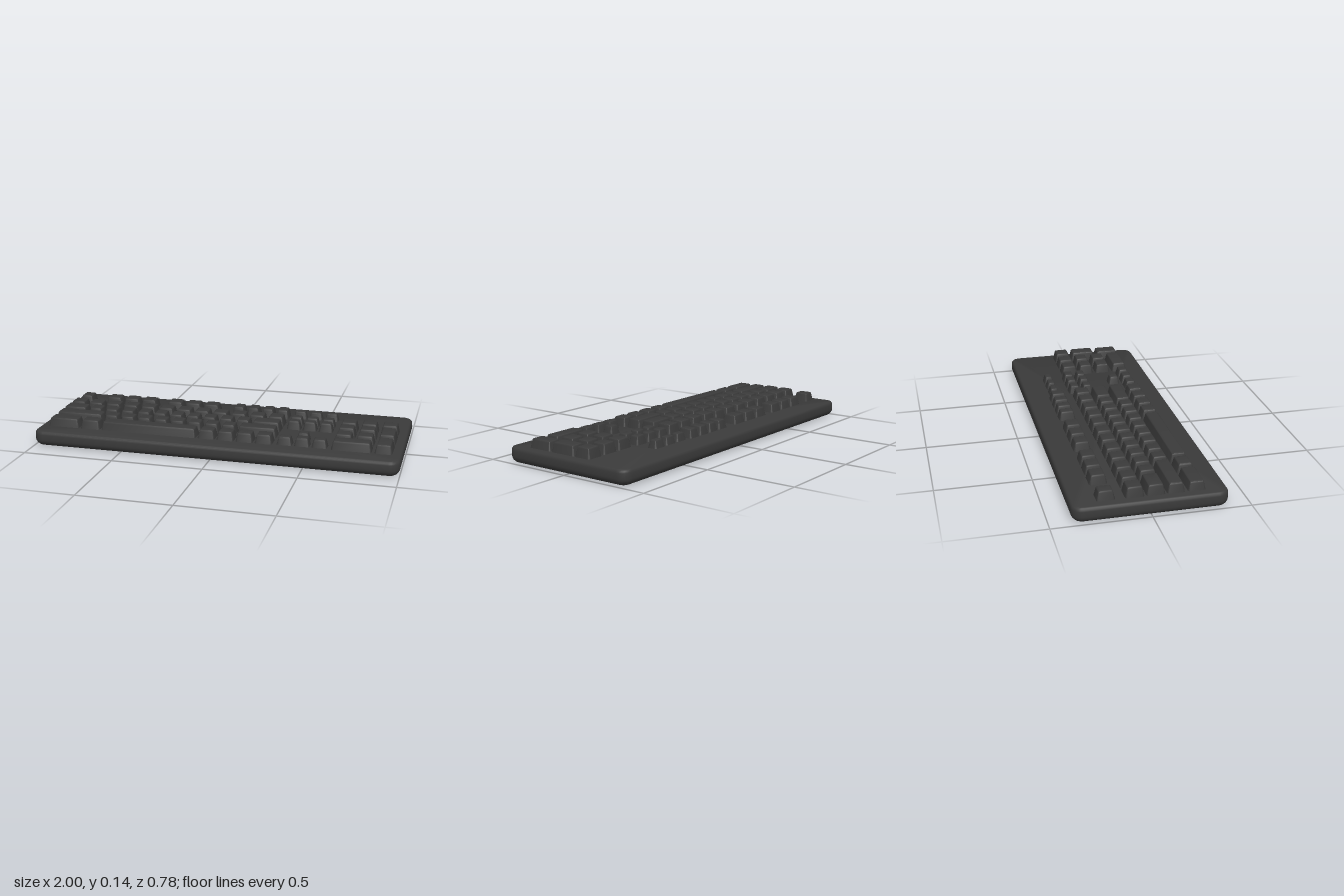
import * as THREE from 'three';
import { toCreasedNormals } from 'three/addons/utils/BufferGeometryUtils.js';

const charcoal = new THREE.MeshStandardMaterial({ color: 0x3a3a3a });
charcoal.name = 'charcoal plastic';

// Stack of rounded rectangles, bottom to top; each ring is [inset, y]. Closed at both ends.
function loft(width, depth, radius, rings, topCentreY, cornerSteps) {
  const pos = [], index = [];
  const n = 4 * (cornerSteps + 1);
  for (const [inset, y] of rings) {
    const r = Math.max(radius - inset, 0.004);
    const cx = width / 2 - inset - r, cz = depth / 2 - inset - r;
    for (let q = 0; q < 4; q++) {
      const sx = q === 0 || q === 3 ? 1 : -1, sz = q < 2 ? 1 : -1;
      for (let s = 0; s <= cornerSteps; s++) {
        const a = (q + s / cornerSteps) * Math.PI / 2;
        pos.push(sx * cx + r * Math.cos(a), y, sz * cz + r * Math.sin(a));
      }
    }
  }
  const last = (rings.length - 1) * n, bottom = rings.length * n, top = bottom + 1;
  pos.push(0, rings[0][1], 0, 0, topCentreY, 0);
  for (let j = 0; j < n; j++) {
    const k = (j + 1) % n;
    for (let i = 0; i < last; i += n) {
      index.push(i + j, i + n + j, i + k, i + k, i + n + j, i + n + k);
    }
    index.push(bottom, j, k, top, last + k, last + j);
  }
  const g = new THREE.BufferGeometry();
  g.setAttribute('position', new THREE.Float32BufferAttribute(pos, 3));
  g.setIndex(index);
  return toCreasedNormals(g, 0.65);
}

// Tapered keycap with a soft rim and a shallow dished top
function addKey(group, name, x0, x1, z0, z1, top) {
  const rings = [[0, 0.08], [0.011, top - 0.011], [0.013, top - 0.004], [0.017, top - 0.001], [0.022, top]];
  const key = new THREE.Mesh(loft(x1 - x0, z1 - z0, 0.012, rings, top - 0.003, 3), charcoal);
  key.name = name;
  key.position.set((x0 + x1) / 2, 0, (z0 + z1) / 2);
  group.add(key);
}

// Equal keys side by side between x0 and x1
function addRun(group, name, count, x0, x1, z0, z1, top, gap = 0.008) {
  const pitch = (x1 - x0 + gap) / count;
  for (let i = 0; i < count; i++) {
    addKey(group, name, x0 + i * pitch, x0 + (i + 1) * pitch - gap, z0, z1, top);
  }
}

export function createModel() {
  const model = new THREE.Group();
  model.name = 'keyboard';

  // Case: large rounding underneath, small one on top
  const rings = [];
  for (let i = 0; i <= 6; i++) {
    const a = i / 6 * Math.PI / 2;
    rings.push([0.05 * (1 - Math.sin(a)), 0.04 * (1 - Math.cos(a))]);
  }
  rings.push([0, 0.068], [0.002, 0.077], [0.007, 0.084], [0.014, 0.087]);
  const body = new THREE.Mesh(loft(2, 0.78, 0.055, rings, 0.087, 6), charcoal);
  body.name = 'case';
  model.add(body);

  const section = (name) => {
    const g = new THREE.Group();
    g.name = name;
    model.add(g);
    return g;
  };

  // Back row
  const back = section('backRow');
  for (const [count, x0, x1] of [[1, -0.95, -0.865], [3, -0.785, -0.47], [3, -0.41, -0.09], [4, -0.015, 0.32]]) {
    addRun(back, 'backRowKey', count, x0, x1, -0.265, -0.17, 0.136);
  }
  addRun(back, 'smallBackRowKey', 3, 0.34, 0.6, -0.255, -0.195, 0.13);

  // Main block: rows of [count, x0, x1]
  const main = section('mainKeys');
  const rows = [
    { z0: -0.125, z1: -0.027, top: 0.141, runs: [[12, -0.953, 0.32]] },
    { z0: -0.02, z1: 0.077, top: 0.141, runs: [[1, -0.953, -0.807], [10, -0.8, 0.152], [1, 0.158, 0.32]] },
    { z0: 0.083, z1: 0.175, top: 0.139, runs: [[1, -0.953, -0.675], [8, -0.668, 0.095], [1, 0.102, 0.32]] },
    { z0: 0.187, z1: 0.28, top: 0.136,
      runs: [[1, -0.953, -0.772], [1, -0.765, -0.65], [1, -0.643, -0.1], [4, -0.092, 0.32]] },
  ];
  for (const { z0, z1, top, runs } of rows) {
    for (const [count, x0, x1] of runs) addRun(main, 'key', count, x0, x1, z0, z1, top);
  }

  // Navigation and arrow keys
  const nav = section('navigationKeys');
  addRun(nav, 'navigationKey', 3, 0.34, 0.6, -0.137, -0.068, 0.135);
  addRun(nav, 'navigationKey', 3, 0.34, 0.6, -0.062, 0.005, 0.135);
  addKey(nav, 'upArrowKey', 0.43, 0.505, 0.12, 0.19, 0.132);
  addRun(nav, 'arrowKey', 3, 0.34, 0.612, 0.2, 0.272, 0.132);

  // Number pad
  const pad = section('numberPad');
  addRun(pad, 'padKey', 3, 0.63, 0.953, -0.125, -0.027, 0.141, 0.012);
  addRun(pad, 'padKey', 2, 0.63, 0.845, -0.02, 0.07, 0.141, 0.012);
  addRun(pad, 'padKey', 2, 0.63, 0.845, 0.083, 0.175, 0.139, 0.012);
  addKey(pad, 'widePadKey', 0.63, 0.845, 0.187, 0.28, 0.136);
  addKey(pad, 'tallPadKey', 0.857, 0.953, -0.022, 0.13, 0.14);
  addKey(pad, 'tallPadKey', 0.857, 0.953, 0.137, 0.28, 0.136);

  return model;
}
